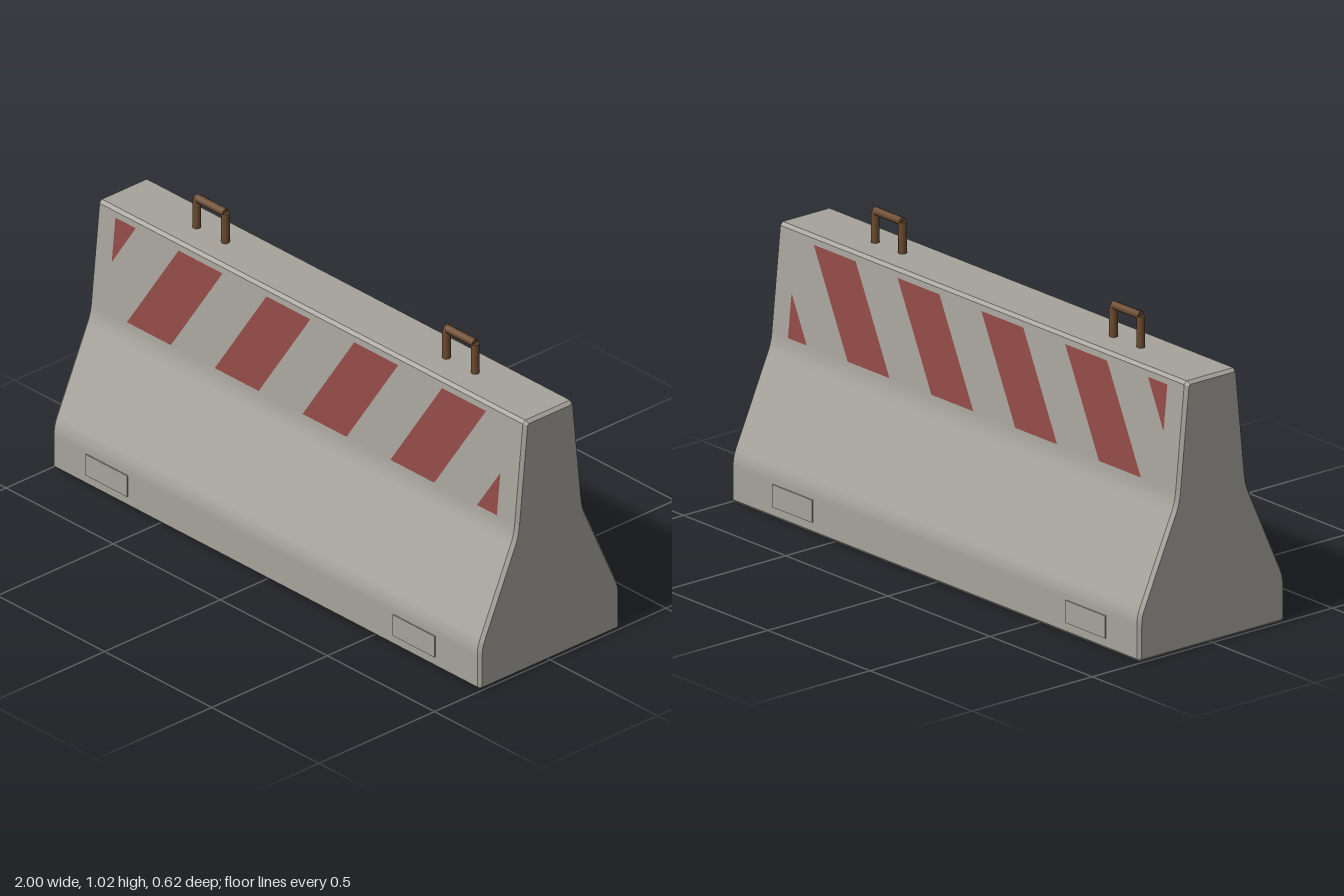
import * as THREE from 'three';

export function createModel() {
  const group = new THREE.Group();
  const material = (name, color) => {
    const m = new THREE.MeshStandardMaterial({ color });
    m.name = name;
    return m;
  };
  const concrete = material('concrete', 0xa5a39b);
  const paint = material('red paint', 0x8f4a45);
  paint.side = THREE.DoubleSide;
  const steel = material('rusty steel', 0x6b4a2f);

  const add = (parent, name, geometry, mat, x = 0, y = 0, z = 0) => {
    const mesh = new THREE.Mesh(geometry, mat);
    mesh.name = name;
    mesh.position.set(x, y, z);
    parent.add(mesh);
    return mesh;
  };

  // Sloped barrier body: half profile with softened knees, mirrored, extruded with chamfered ends
  const knee = (a, b, c) => new THREE.QuadraticBezierCurve(
    new THREE.Vector2(...a), new THREE.Vector2(...b), new THREE.Vector2(...c)).getPoints(5);
  const half = [
    new THREE.Vector2(0.294, 0),
    new THREE.Vector2(0.304, 0.011),
    ...knee([0.304, 0.125], [0.304, 0.155], [0.291, 0.183]),
    ...knee([0.161, 0.47], [0.147, 0.5], [0.143, 0.535]),
    new THREE.Vector2(0.107, 0.889),
    new THREE.Vector2(0.097, 0.9),
  ];
  const mirrored = half.map((p) => new THREE.Vector2(-p.x, p.y)).reverse();
  const body = new THREE.ExtrudeGeometry(new THREE.Shape([...half, ...mirrored]), {
    depth: 1.976, bevelThickness: 0.012, bevelSize: 0.01, bevelOffset: -0.01, bevelSegments: 1,
  });
  body.translate(0, 0, -0.988);
  body.rotateY(Math.PI / 2);
  add(group, 'barrierBody', body, concrete);

  // Slanted warning stripes, cut off at both ends of the painted band
  const low = 0.54, high = 0.87, lean = 0.205;
  const stripes = [
    [[-0.91, 0.715], [-0.815, high], [-0.91, high]],
    [[0.815, low], [0.907, low], [0.907, 0.688]],
  ];
  for (let i = -2; i < 2; i++) {
    const x = i * 0.41;
    stripes.push([[x, low], [x + lean, low], [x + 2 * lean, high], [x + lean, high]]);
  }
  const wallZ = (y) => 0.143 - (y - 0.535) * 0.1017 + 0.002;
  for (const side of [1, -1]) {
    const set = new THREE.Group();
    set.name = side > 0 ? 'frontStripes' : 'backStripes';
    group.add(set);
    for (const corners of stripes) {
      const geometry = new THREE.ShapeGeometry(
        new THREE.Shape(corners.map((c) => new THREE.Vector2(...c))));
      const pos = geometry.attributes.position;
      for (let i = 0; i < pos.count; i++) pos.setZ(i, side * wallZ(pos.getY(i)));
      geometry.computeVertexNormals();
      add(set, 'stripe', geometry, paint);
    }
  }

  // Shallow raised pads near the foot, on both long sides
  for (const side of [1, -1]) {
    for (const x of [-0.74, 0.695]) {
      add(group, 'footPad', new THREE.BoxGeometry(0.195, 0.076, 0.009), concrete, x, 0.078, side * 0.3035);
    }
  }

  // Lifting loops: two legs and a crossbar each
  for (const side of [1, -1]) {
    const loop = new THREE.Group();
    loop.name = side > 0 ? 'leftLiftingLoop' : 'rightLiftingLoop';
    loop.position.x = side * 0.583;
    group.add(loop);
    for (const x of [-0.067, 0.067]) {
      add(loop, 'loopLeg', new THREE.CylinderGeometry(0.014, 0.014, 0.125, 8), steel, x, 0.9425, 0);
    }
    const bar = new THREE.CylinderGeometry(0.014, 0.014, 0.134, 8);
    bar.rotateZ(Math.PI / 2);
    add(loop, 'loopBar', bar, steel, 0, 1.006, 0);
  }
  return group;
}
